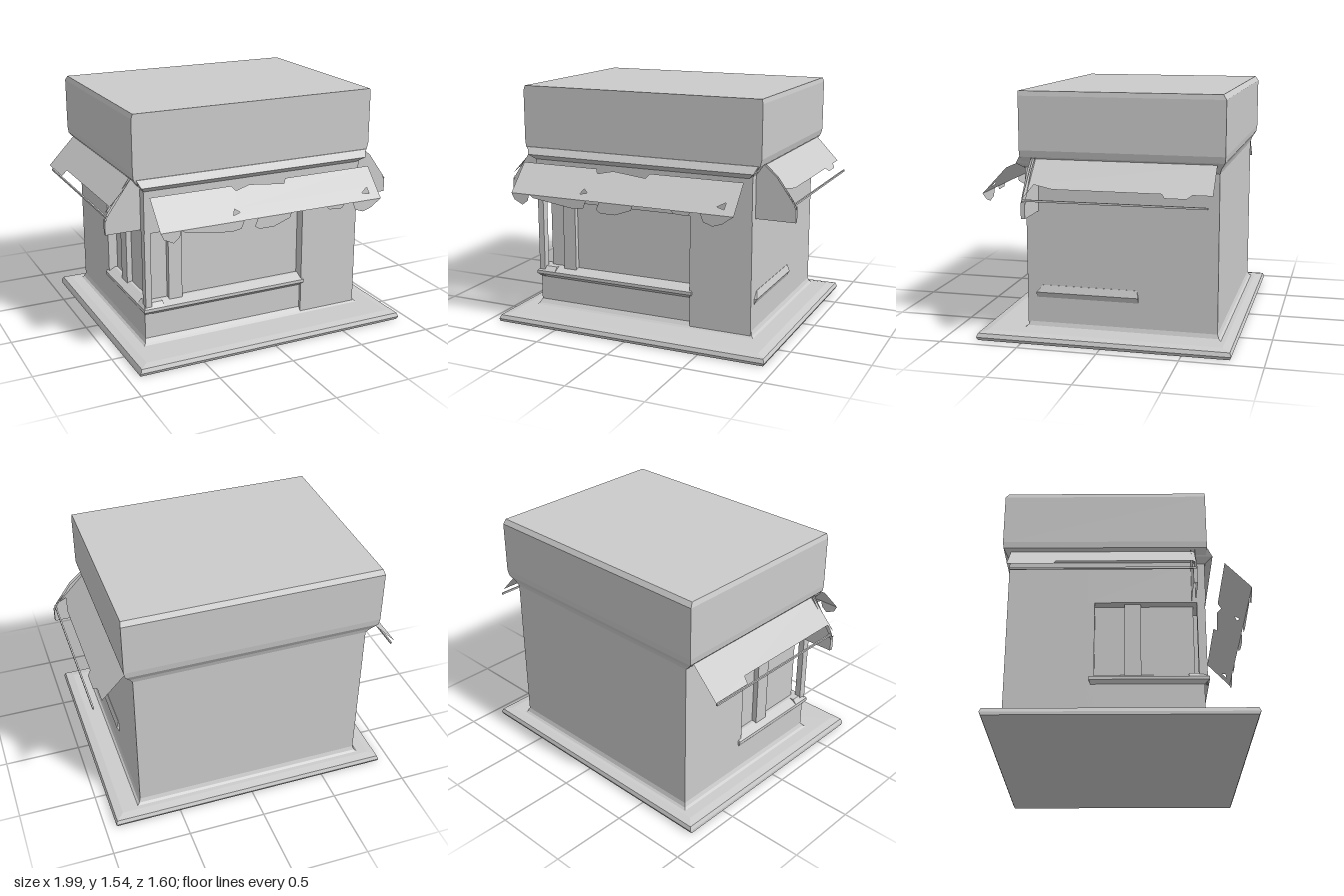
import * as THREE from 'three';

const grey = new THREE.MeshStandardMaterial({ color: 0xcccccc, flatShading: true });
const thin = new THREE.MeshStandardMaterial({ color: 0xcccccc, flatShading: true, side: THREE.DoubleSide });

export function createModel() {
  const kiosk = new THREE.Group();
  kiosk.name = 'kiosk';

  const add = (name, geometry, material = grey) => {
    const mesh = new THREE.Mesh(geometry, material);
    mesh.name = name;
    kiosk.add(mesh);
    return mesh;
  };

  // Box given by its limits
  const box = (name, x0, x1, y0, y1, z0, z1) =>
    add(name, new THREE.BoxGeometry(x1 - x0, y1 - y0, z1 - z0)
      .translate((x0 + x1) / 2, (y0 + y1) / 2, (z0 + z1) / 2));

  // Stacked rectangles [y, x0, x1, z0, z1], capped at both ends
  const loft = (name, rows) => {
    const points = [], index = [];
    rows.forEach(([y, x0, x1, z0, z1]) => points.push(x0, y, z1, x1, y, z1, x1, y, z0, x0, y, z0));
    for (let r = 0; r < rows.length - 1; r++) {
      for (let i = 0; i < 4; i++) {
        const a = r * 4 + i, b = r * 4 + (i + 1) % 4;
        index.push(a, b, b + 4, a, b + 4, a + 4);
      }
    }
    const t = (rows.length - 1) * 4;
    index.push(0, 2, 1, 0, 3, 2, t, t + 1, t + 2, t, t + 2, t + 3);
    const geometry = new THREE.BufferGeometry();
    geometry.setAttribute('position', new THREE.Float32BufferAttribute(points, 3));
    geometry.setIndex(index);
    const flat = geometry.toNonIndexed();
    flat.computeVertexNormals();
    return add(name, flat);
  };

  // Flat sheet drawn as an outline, then placed by a rule (u, v) -> [x, y, z]
  const sheet = (name, outline, place, holes = []) => {
    const vectors = (list) => list.map(([u, v]) => new THREE.Vector2(u, v));
    const shape = new THREE.Shape(vectors(outline));
    holes.forEach((h) => shape.holes.push(new THREE.Path(vectors(h))));
    const geometry = new THREE.ShapeGeometry(shape);
    const p = geometry.attributes.position;
    for (let i = 0; i < p.count; i++) p.setXYZ(i, ...place(p.getX(i), p.getY(i)));
    geometry.computeVertexNormals();
    return add(name, geometry, thin);
  };

  // Ground slab and the flare where the walls meet it
  loft('baseSlab', [
    [0, -0.92, 0.92, -0.79, 0.78], [0.02, -0.92, 0.93, -0.80, 0.79],
    [0.045, -0.91, 0.92, -0.79, 0.78], [0.055, -0.86, 0.87, -0.74, 0.73],
  ]);
  loft('wallFoot', [
    [0.05, -0.80, 0.77, -0.72, 0.53], [0.065, -0.78, 0.75, -0.70, 0.51], [0.09, -0.77, 0.74, -0.69, 0.49],
  ]);

  // Walls around the corner window
  box('rearWall', -0.77, 0.74, 0.05, 1.1, -0.69, -0.16);
  box('innerCore', -0.71, 0.74, 0.05, 1.1, -0.2, 0.44);
  box('lowerWall', -0.77, 0.36, 0.05, 0.27, -0.2, 0.49);
  box('frontPillar', 0.33, 0.74, 0.05, 1.1, 0, 0.51);
  box('upperBand', -0.77, 0.74, 0.79, 1.1, -0.2, 0.515);
  box('cornerPost', -0.77, -0.73, 0.26, 0.8, 0.46, 0.51);
  box('frontWindowPost', -0.60, -0.51, 0.27, 0.8, 0.4, 0.475);
  box('sideWindowPost', -0.745, -0.69, 0.27, 0.8, 0.02, 0.12);

  // Counter ledges
  loft('frontCounter', [
    [0.25, -0.77, 0.33, 0.4, 0.49], [0.275, -0.785, 0.345, 0.4, 0.52],
    [0.295, -0.785, 0.345, 0.4, 0.52], [0.325, -0.76, 0.33, 0.4, 0.46],
  ]);
  loft('sideCounter', [
    [0.25, -0.77, -0.65, -0.18, 0.49], [0.275, -0.785, -0.65, -0.19, 0.52],
    [0.295, -0.785, -0.65, -0.19, 0.52], [0.325, -0.73, -0.65, -0.17, 0.49],
  ]);
  loft('leftLedge', [
    [0.25, 0.7, 0.74, -0.2, 0.45], [0.285, 0.7, 0.757, -0.2, 0.45], [0.33, 0.7, 0.742, -0.19, 0.41],
  ]);

  // Roof block, narrowing to the walls below
  loft('roofBlock', [
    [1.07, -0.77, 0.74, -0.69, 0.51], [1.10, -0.80, 0.76, -0.70, 0.525], [1.14, -0.835, 0.79, -0.725, 0.53],
    [1.18, -0.84, 0.80, -0.73, 0.53], [1.51, -0.84, 0.80, -0.73, 0.53], [1.54, -0.83, 0.795, -0.71, 0.53],
  ]);
  loft('frontLip', [
    [1.06, -0.77, 0.72, 0.45, 0.52], [1.095, -0.80, 0.76, 0.45, 0.565], [1.14, -0.82, 0.78, 0.45, 0.535],
  ]);

  // Front awning: sloped sheet standing off the wall, with a ragged lower edge
  const slope = (x, y) => [x, y, 0.64 + (1.06 - y) * 0.16 / 0.17];
  sheet('frontAwning', [
    [-0.78, 1.06], [-0.25, 1.06], [-0.23, 1.035], [-0.13, 1.055], [0.1, 1.035], [0.12, 1.06], [0.73, 1.06],
    [0.73, 0.89], [-0.78, 0.89],
  ], slope, [
    [[-0.30, 0.92], [-0.25, 0.93], [-0.28, 0.95]], [[0.61, 0.93], [0.66, 0.92], [0.66, 0.955]],
  ]);
  const scraps = [
    [[-0.78, 0.89], [-0.65, 0.89], [-0.66, 0.85], [-0.70, 0.82], [-0.76, 0.85]],
    [[-0.65, 0.89], [-0.24, 0.89], [-0.26, 0.84], [-0.33, 0.83], [-0.62, 0.87]],
    [[-0.17, 0.84], [-0.15, 0.89], [0.08, 0.89], [0.07, 0.86], [-0.04, 0.82], [-0.14, 0.82]],
    [[0.33, 0.89], [0.46, 0.89], [0.44, 0.865], [0.35, 0.87]],
    [[0.52, 0.89], [0.73, 0.89], [0.66, 0.84], [0.6, 0.82], [0.54, 0.84]],
  ];
  scraps.forEach((s, i) => sheet('frontValance' + (i + 1), s, (x, y) => [x, y, 0.80]));

  // Side awnings: slope, front end panel and hanging edge strip
  for (const [side, label, wall] of [[1, 'left', 0.74], [-1, 'right', 0.77]]) {
    const top = wall + 0.04;
    const edge = side > 0
      ? [[-0.68, 0.93], [-0.56, 0.93], [-0.53, 0.95], [-0.4, 0.95], [-0.38, 0.93], [0.28, 0.93], [0.4, 0.91], [0.45, 0.98]]
      : [[-0.68, 0.995], [-0.4, 0.995], [-0.39, 0.96], [0.43, 0.96], [0.45, 0.995]];
    sheet(label + 'Awning', [[0.45, top], [-0.68, top], ...edge],
      (z, x) => [side * x, 1.13 - (x - top) * 1.05, z]);
    const panel = [[wall - 0.02, 0.8], [0.995, 0.8], [0.995, 0.88], [0.97, 0.93], [0.87, 1.07], [top + 0.01, 1.14], [wall - 0.02, 1.14]];
    for (const z of [0.43, 0.455]) sheet(label + 'AwningEnd', panel, (x, y) => [side * x, y, z]);
    const rim = [[0.43, 0.8], [0.455, 0.8], [0.455, 0.9], [0.43, 0.9]];
    sheet(label + 'AwningEndRim', rim, (z, y) => [side * 0.995, y, z]);
    const strip = box(label + 'AwningStrip', 0.977, 0.987, 0.903, 0.915, -0.66, 0.45);
    strip.scale.x = 1;
    if (side < 0) strip.position.x = -1.964;
  }
  return kiosk;
}
